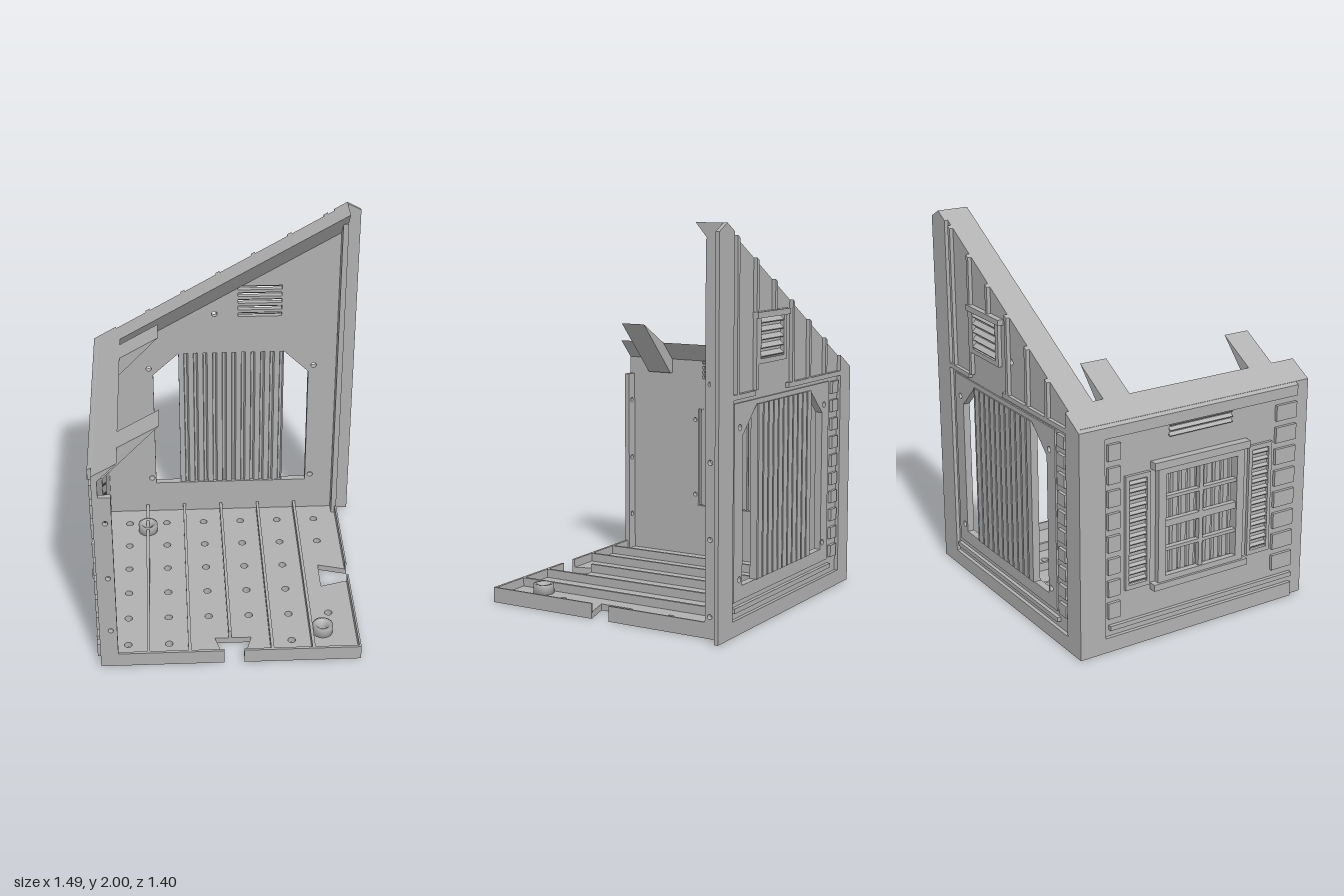
import * as THREE from 'three';

const gray = new THREE.MeshStandardMaterial({ color: 0xb0b0b0 });
gray.name = 'grayPlastic';
const SLOPE = 0.5755;
const roofY = (x) => 2 + SLOPE * (x - 0.67);
const rect = (x0, x1, y0, y1) => [[x0, y0], [x1, y0], [x1, y1], [x0, y1]];

export function createModel() {
  const model = new THREE.Group();
  model.name = 'houseCorner';

  const add = (name, geo) => {
    const m = new THREE.Mesh(geo, gray);
    m.name = name;
    model.add(m);
    return m;
  };
  // box given by its limits
  const box = (name, x0, x1, y0, y1, z0, z1) => {
    const m = add(name, new THREE.BoxGeometry(x1 - x0, y1 - y0, z1 - z0));
    m.position.set((x0 + x1) / 2, (y0 + y1) / 2, (z0 + z1) / 2);
    return m;
  };
  // extruded outline with polygon holes and round holes [x, y, radius]
  const extrude = (pts, depth, polys = [], rounds = []) => {
    const v = (a) => a.map(([x, y]) => new THREE.Vector2(x, y));
    const s = new THREE.Shape(v(pts));
    polys.forEach((p) => s.holes.push(new THREE.Path(v(p))));
    rounds.forEach(([x, y, r]) => s.holes.push(new THREE.Path().absarc(x, y, r, 0, Math.PI * 2, true)));
    return new THREE.ExtrudeGeometry(s, { depth, bevelEnabled: false, curveSegments: 8 });
  };
  // plate in the x-y plane from z0 to z1
  const backPlate = (name, pts, z0, z1, polys, rounds) =>
    add(name, extrude(pts, z1 - z0, polys, rounds).translate(0, 0, z0));
  // plate in the z-y plane from x0 to x1
  const sidePlate = (name, pts, x0, x1, polys, rounds) =>
    add(name, extrude(pts, x1 - x0, polys, rounds).rotateY(-Math.PI / 2).translate(x1, 0, 0));

  // ---- floor: slab with dovetail notches and a grid of holes
  const holes = [];
  for (let i = 0; i < 6; i++) for (let j = 0; j < 6; j++) {
    const skip = (j === 5 && (i === 2 || i === 3 || i === 5)) || (i === 5 && (j === 2 || j === 3));
    if (!skip) holes.push([-0.563 + i * 0.2185, -0.517 + j * 0.2185, 0.021]);
  }
  holes.push([0.482, 0.512, 0.021]);
  const floorPts = [[-0.705, -0.675], [0.67, -0.675], [0.67, -0.022], [0.512, -0.068], [0.512, 0.125], [0.67, 0.08],
    [0.67, 0.7], [0.05, 0.7], [0.095, 0.543], [-0.1, 0.543], [-0.055, 0.7], [-0.705, 0.7]];
  add('floor', extrude(floorPts, 0.034, [], holes).rotateX(Math.PI / 2).translate(0, 0.034, 0));
  [-0.455, -0.236, -0.018, 0.201, 0.42].forEach((x, i) =>
    box('floorRib', x - 0.008, x + 0.008, 0.03, 0.08, -0.65, i === 2 ? 0.543 : 0.69));
  box('floorLipFront', -0.69, -0.055, 0.03, 0.08, 0.685, 0.7);
  box('floorLipFront', 0.05, 0.67, 0.03, 0.08, 0.685, 0.7);
  box('floorLipSide', 0.66, 0.67, 0.03, 0.08, -0.65, -0.022);
  box('floorLipSide', 0.66, 0.67, 0.03, 0.08, 0.08, 0.7);
  // screw bosses
  [[0.482, 0.512], [-0.455, -0.445]].forEach(([x, z]) => {
    const prof = [[0.02, 0.03], [0.055, 0.03], [0.055, 0.085], [0.038, 0.085], [0.02, 0.06], [0.02, 0.03]];
    add('screwBoss', new THREE.LatheGeometry(prof.map((p) => new THREE.Vector2(...p)), 24).toNonIndexed())
      .position.set(x, 0, z);
  });

  // ---- back wall with chamfered opening, vent slots and screw holes
  const opening = [[-0.4, 0.235], [0.483, 0.235], [0.483, 0.98], [0.343, 1.115], [-0.255, 1.115], [-0.4, 0.98]];
  const ventYs = [0, 1, 2, 3, 4].map((i) => 1.355 + i * 0.0415);
  const screws = [[-0.424, 1.02], [0.513, 1.02], [-0.424, 0.27], [0.513, 0.27], [-0.05, 1.362]]
    .map(([x, y]) => [x, y, 0.016]);
  backPlate('backWall', [[-0.705, 0], [0.67, 0], [0.67, roofY(0.67)], [-0.705, roofY(-0.705)]], -0.675, -0.645,
    [opening, ...ventYs.map((y) => rect(0.08, 0.325, y - 0.012, y + 0.012))], screws);
  // end post
  sidePlate('endPost', [[-0.65, 0], [-0.58, 0], [-0.58, 1.92], [-0.65, 1.98]], 0.64, 0.67, [],
    [0.11, 0.49, 0.865, 1.24, 1.615, 1.835].map((y) => [-0.607, y, 0.013]));

  // ribbed curtain in an opening: zigzag section, a along the wall, d across it
  const curtain = (a0, a1, n, d0, d1) => {
    const p = (a1 - a0) / n;
    const pts = [[a0, d0]];
    for (let i = 0; i < n; i++) pts.push([a0 + (i + 0.8) * p, d0], [a0 + (i + 0.83) * p, d0 + 0.014],
      [a0 + (i + 0.97) * p, d0 + 0.014], [a0 + (i + 1) * p, d0]);
    for (let i = n; i > 0; i--) pts.push([a0 + i * p, d1], [a0 + (i - 0.15) * p, d1 - 0.012],
      [a0 + (i - 0.4) * p, d1 - 0.012], [a0 + (i - 0.45) * p, d1]);
    pts.push([a0, d1]);
    return pts;
  };
  add('backCurtain', extrude(curtain(-0.255, 0.343, 11, -0.69, -0.65), 0.88).rotateX(Math.PI / 2).translate(0, 1.115, 0));

  // ---- left wall with window opening and vent slots
  const sideVents = [0, 1, 2, 3].map((i) => 1.085 + i * 0.028);
  sidePlate('leftWall', [[-0.675, 0], [0.7, 0], [0.7, 1.21], [-0.675, 1.21]], -0.705, -0.675,
    [rect(-0.2, 0.235, 0.33, 0.9), ...sideVents.map((y) => rect(-0.17, 0.21, y - 0.008, y + 0.008))],
    [[-0.219, 0.395, 0.012], [-0.219, 0.835, 0.012], [0.255, 0.395, 0.012], [0.255, 0.835, 0.012]]);
  backPlate('frontFlange', [[-0.7, 0], [-0.612, 0], [-0.612, 1.083], [-0.7, 1.083]], 0.672, 0.7, [],
    [0.24, 0.583, 0.927].map((y) => [-0.645, y, 0.014]));
  add('windowCurtain', extrude(curtain(-0.19, 0.225, 8, 0.672, 0.7), 0.565)
    .rotateX(Math.PI / 2).rotateY(-Math.PI / 2).translate(0, 0.9, 0));

  // ---- sloped roof seats
  const seat = extrude([[-0.675, 0], [-0.645, -0.14], [-0.525, 0]], 1.39).rotateY(-Math.PI / 2).translate(0.67, 0, 0);
  const pos = seat.attributes.position;
  for (let i = 0; i < pos.count; i++) pos.setY(i, pos.getY(i) + roofY(pos.getX(i)));
  seat.computeVertexNormals();
  add('backRoofSeat', seat);
  backPlate('leftRoofSeat', [[-0.725, 1.14], [-0.705, 1.14], [-0.675, 1.18], [-0.575, roofY(-0.575)],
    [-0.725, roofY(-0.725)]], -0.675, 0.62);
  backPlate('leftRoofSeatEnd', [[-0.705, 1.14], [-0.675, 1.18], [-0.575, roofY(-0.575)],
    [-0.705, roofY(-0.705)]], 0.62, 0.7);
  [[-0.465, -0.315], [0.412, 0.56]].forEach(([z0, z1]) =>
    backPlate('roofBracket', [[-0.69, 1.1], [-0.655, 1.1], [-0.365, roofY(-0.365)], [-0.69, roofY(-0.69)]], z0, z1));

  // ---- outside trim of the back wall
  const zo = -0.695, zi = -0.674;
  const slanted = (name, x0, x1, y0) =>
    backPlate(name, [[x0, y0], [x1, y0], [x1, roofY(x1)], [x0, roofY(x0)]], zo, zi);
  slanted('backCornerBoard', -0.725, -0.6, 0);
  backPlate('backEndBoard', [[0.6, 0], [0.745, 0], [0.745, 1.96], [0.67, 2], [0.6, roofY(0.6)]], zo, zi);
  box('backBaseBoard', -0.6, 0.6, 0, 0.08, zo, zi);
  box('backBaseStrip', -0.5, 0.58, 0.115, 0.14, zo, zi);
  box('backBeltStrip', -0.6, 0.02, 1.16, 1.185, zo, zi);
  box('backBeltStrip', 0.38, 0.6, 1.16, 1.185, zo, zi);
  [-0.42, -0.225, -0.03, 0.165, 0.36, 0.555].forEach((x) =>
    slanted('backBatten', x - 0.011, x + 0.011, x > 0.1 && x < 0.2 ? 1.55 : 1.185));
  for (let i = 0; i < 10; i++) box('backQuoin', -0.58, -0.51, 0.17 + i * 0.1, 0.235 + i * 0.1, zo + 0.003, zi);
  backPlate('backOpeningFrame', rect(-0.48, 0.57, 0.165, 1.14), -0.683, zi, [opening], screws.slice(0, 4));

  // back vent: frame, tilted louvers, hood
  backPlate('ventFrame', rect(0.05, 0.355, 1.31, 1.555), zo, zi, [rect(0.08, 0.325, 1.335, 1.535)]);
  ventYs.forEach((y) => {
    box('ventLouver', 0.08, 0.325, y - 0.004, y + 0.004, -0.697, -0.661).rotation.x = -0.7;
  });
  box('ventHood', 0.027, 0.375, 1.535, 1.565, -0.705, zi);

  // ---- outside trim of the left wall
  const xo = -0.725, xi = -0.704;
  box('leftCornerBoard', xo, xi, 0, 1.15, zo, -0.55);
  box('leftBaseBoard', xo, xi, 0, 0.08, -0.55, 0.62);
  box('leftBaseStrip', xo, xi, 0.115, 0.14, -0.52, 0.62);
  for (let i = 0; i < 8; i++) {
    box('leftQuoin', xo + 0.003, xi, 0.18 + i * 0.12, 0.265 + i * 0.12, 0.49, 0.62);
    box('leftQuoin', xo + 0.003, xi, 0.18 + i * 0.12, 0.265 + i * 0.12, -0.53, -0.46);
  }
  sideVents.forEach((y) => {
    box('leftVentLouver', -0.72, -0.69, y - 0.003, y + 0.003, -0.17, 0.21).rotation.z = 0.7;
  });

  // window: frame, glazing bars, hood, sill
  sidePlate('windowFrame', rect(-0.245, 0.28, 0.3, 0.93), -0.735, xi, [rect(-0.2, 0.235, 0.34, 0.89)]);
  box('windowBarUpright', -0.728, -0.7, 0.34, 0.89, 0.006, 0.029);
  [[0.62, 0.018], [0.48, 0.009], [0.76, 0.009]].forEach(([y, h]) =>
    box('windowBarCross', -0.728, -0.7, y - h, y + h, -0.2, 0.235));
  box('windowHood', -0.748, xi, 0.925, 0.965, -0.275, 0.305);
  box('windowSill', -0.748, xi, 0.275, 0.31, -0.275, 0.305);

  // louvered shutters
  [[-0.43, -0.285], [0.32, 0.465]].forEach(([z0, z1]) => {
    sidePlate('shutterFrame', rect(z0, z1, 0.31, 0.92), -0.722, xi, [rect(z0 + 0.02, z1 - 0.02, 0.335, 0.895)]);
    for (let i = 0; i < 14; i++)
      box('shutterLouver', -0.72, -0.7, 0.35 + i * 0.04, 0.36 + i * 0.04, z0 + 0.02, z1 - 0.02).rotation.z = 0.6;
  });

  return model;
}
